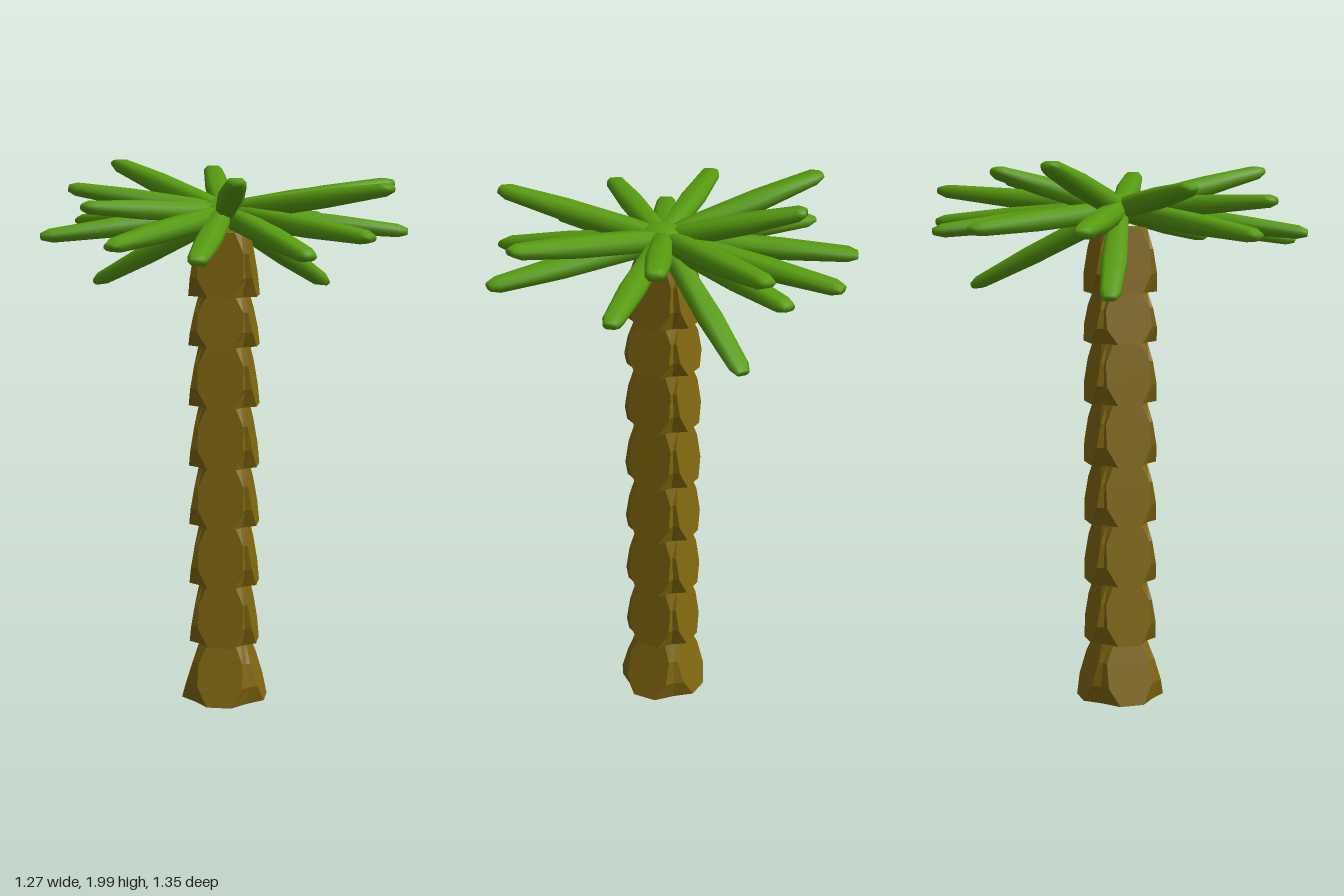
import * as THREE from 'three';

// Skin a list of equal-length rings (counter-clockwise seen from the last ring) and cap both ends.
function loft(rings) {
  const n = rings[0].length, pos = [], idx = [];
  for (const ring of rings) for (const p of ring) pos.push(p.x, p.y, p.z);
  for (let r = 0; r < rings.length - 1; r++) {
    for (let i = 0; i < n; i++) {
      const a = r * n + i, b = r * n + (i + 1) % n;
      idx.push(a, b, b + n, a, b + n, a + n);
    }
  }
  const last = (rings.length - 1) * n, centre = pos.length / 3;
  for (const ring of [rings[0], rings[rings.length - 1]]) {
    const c = new THREE.Vector3();
    ring.forEach((p) => c.addScaledVector(p, 1 / n));
    pos.push(c.x, c.y, c.z);
  }
  for (let i = 0; i < n; i++) {
    const j = (i + 1) % n;
    idx.push(centre, j, i, centre + 1, last + i, last + j);
  }
  const g = new THREE.BufferGeometry();
  g.setAttribute('position', new THREE.Float32BufferAttribute(pos, 3));
  g.setIndex(idx);
  return g;
}

// Square ring with scooped corners: d = face distance, w = half face width, c = corner point.
function trunkRing(y, d, w, c) {
  const ring = [];
  for (let k = 0; k < 4; k++) {
    for (const [x, z] of [[-w, d], [w, d], [c, c]]) {
      ring.push(new THREE.Vector3(x, y, z).applyAxisAngle(new THREE.Vector3(0, 1, 0), k * Math.PI / 2));
    }
  }
  return ring;
}

// One flared trunk segment whose four faces are tall octagons.
function trunkSegment(y0, y1, d0, d1) {
  const row = (t, w, c) => {
    const d = d0 + (d1 - d0) * t;
    return trunkRing(y0 + (y1 - y0) * t, d, w, c * d);
  };
  const g = loft([row(0, 0.045, 0.62), row(0.3, 0.083, 0.78), row(0.68, 0.083, 0.86), row(1, 0.05, 0.82)]);
  const flat = g.toNonIndexed();
  flat.computeVertexNormals();
  return flat;
}

// Straight bevelled frond from the crown to its tip.
function frondGeometry(from, tip) {
  const dir = tip.clone().sub(from).normalize();
  const side = new THREE.Vector3(0, 1, 0).cross(dir).normalize();
  const up = dir.clone().cross(side);
  // t along the frond, half width, half thickness
  const rows = [[0, 0.03, 0.03], [0.2, 0.036, 0.036], [0.6, 0.044, 0.033], [0.95, 0.035, 0.023], [1, 0.024, 0.012]];
  const section = [[1, -0.35], [1, 0.35], [0.6, 1], [-0.6, 1], [-1, 0.35], [-1, -0.35], [-0.6, -1], [0.6, -1]];
  const g = loft(rows.map(([t, w, h]) => section.map(([u, v]) =>
    from.clone().lerp(tip, t).addScaledVector(side, u * w).addScaledVector(up, v * h))));
  g.computeVertexNormals();
  return g;
}

export function createModel() {
  const group = new THREE.Group();
  const bark = new THREE.MeshStandardMaterial({ color: 0x7f660f });
  bark.name = 'bark brown';
  const leaf = new THREE.MeshStandardMaterial({ color: 0x589c10 });
  leaf.name = 'leaf green';

  // Trunk
  const trunk = new THREE.Group();
  trunk.name = 'trunk';
  const levels = [0.01, 0.23, 0.455, 0.68, 0.9, 1.125, 1.345, 1.525, 1.75];
  for (let i = 0; i < levels.length - 1; i++) {
    const segment = new THREE.Mesh(
      trunkSegment(levels[i], levels[i + 1] + 0.005, i === 0 ? 0.155 : 0.125, 0.086), bark);
    segment.name = 'trunkSegment';
    trunk.add(segment);
  }
  trunk.position.set(-0.02, 0, 0);
  group.add(trunk);

  // Crown where the fronds meet
  const crownCentre = new THREE.Vector3(-0.02, 1.82, 0);
  const crown = new THREE.Mesh(new THREE.SphereGeometry(0.1, 16, 10), leaf);
  crown.name = 'crown';
  crown.scale.set(1, 0.55, 1);
  crown.position.copy(crownCentre);
  group.add(crown);

  // Frond tips
  const tips = [
    [-0.02, 1.75, -0.68], [-0.32, 1.77, -0.61], [0.27, 1.77, -0.61], [0.37, 1.88, -0.58],
    [-0.13, 1.96, -0.49], [-0.49, 1.985, -0.39], [-0.62, 1.77, -0.31], [-0.53, 1.55, -0.19],
    [0.57, 1.92, -0.28], [0.63, 1.75, -0.15], [-0.57, 1.91, 0.08], [-0.62, 1.75, 0.3],
    [-0.44, 1.86, 0.43], [-0.32, 1.74, 0.6], [-0.02, 1.7, 0.67], [0.1, 1.95, 0.59],
    [0.33, 1.7, 0.44], [0.53, 1.76, 0.37], [0.59, 1.92, 0.24], [0.31, 1.53, -0.47],
  ];
  for (const tip of tips) {
    const frond = new THREE.Mesh(frondGeometry(crownCentre, new THREE.Vector3(...tip)), leaf);
    frond.name = 'frond';
    group.add(frond);
  }
  return group;
}
